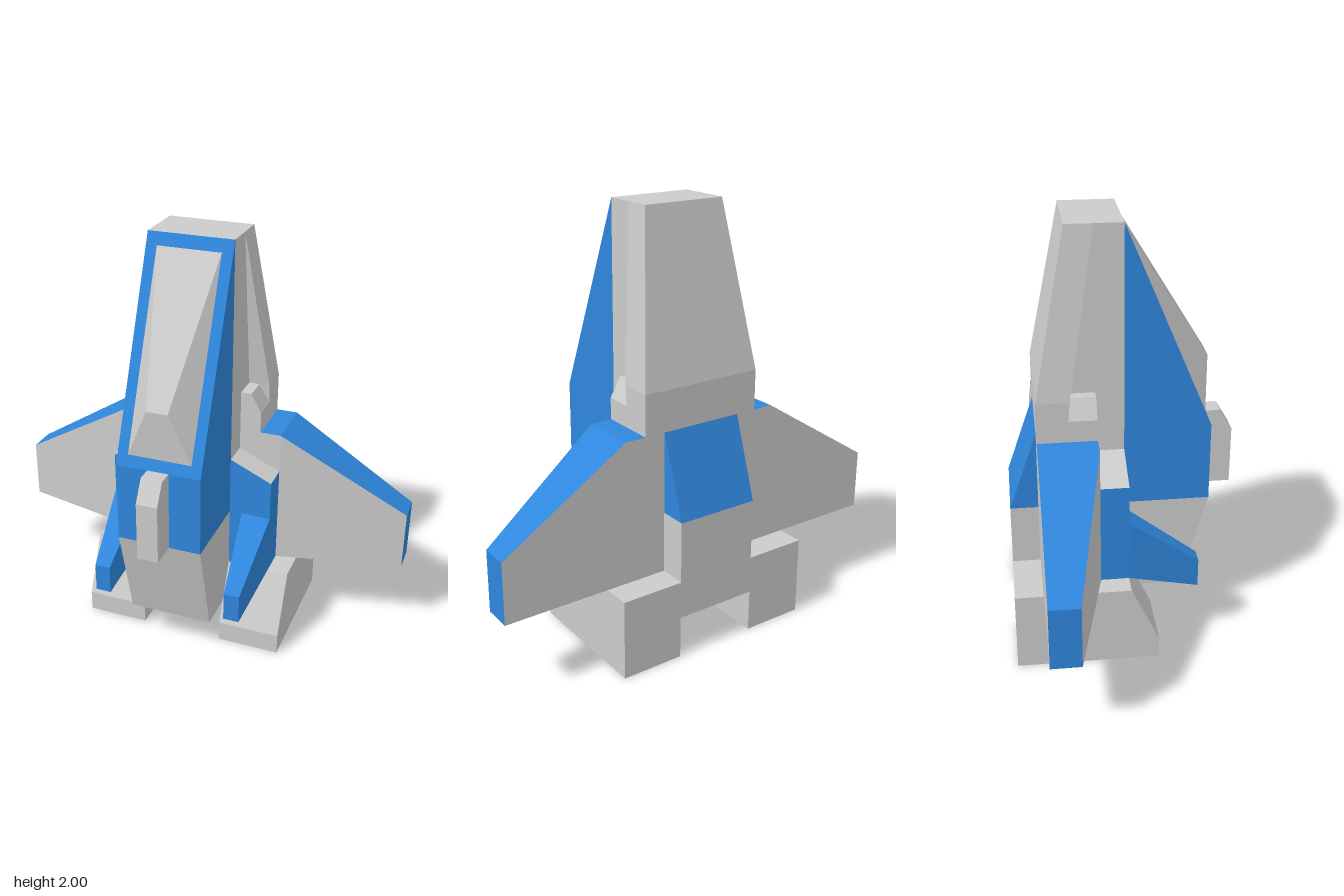
import * as THREE from 'three';

const materials = [
  new THREE.MeshStandardMaterial({ color: 0xcccccc, flatShading: true }),
  new THREE.MeshStandardMaterial({ color: 0x2f86dc, flatShading: true }),
];
const GREY = 0, BLUE = 1;

// Convex solid between two loops of equal length; paint = [side colours..., first cap, last cap] or one colour
function loft(name, a, b, paint) {
  const A = a.map(p => new THREE.Vector3(...p)), B = b.map(p => new THREE.Vector3(...p));
  const n = A.length, buckets = [[], []];
  const centre = new THREE.Vector3();
  [...A, ...B].forEach(p => centre.addScaledVector(p, 0.5 / n));
  const tri = (p, q, r, colour) => {
    const normal = q.clone().sub(p).cross(r.clone().sub(p));
    if (normal.length() < 1e-8) return;
    const outward = normal.dot(p.clone().sub(centre)) > 0;
    (outward ? [p, q, r] : [p, r, q]).forEach(v => buckets[colour].push(v));
  };
  const colourOf = i => Array.isArray(paint) ? paint[i] : paint;
  for (let i = 0; i < n; i++) {
    const j = (i + 1) % n;
    tri(A[i], A[j], B[j], colourOf(i));
    tri(A[i], B[j], B[i], colourOf(i));
  }
  for (let i = 1; i < n - 1; i++) {
    tri(A[0], A[i], A[i + 1], colourOf(n));
    tri(B[0], B[i], B[i + 1], colourOf(n + 1));
  }
  const geometry = new THREE.BufferGeometry().setFromPoints([...buckets[0], ...buckets[1]]);
  geometry.addGroup(0, buckets[0].length, 0);
  geometry.addGroup(buckets[0].length, buckets[1].length, 1);
  geometry.computeVertexNormals();
  const mesh = new THREE.Mesh(geometry, materials);
  mesh.name = name;
  return mesh;
}

// Side profile of [z, y] points stretched across x
const prism = (name, profile, x0, x1, paint) =>
  loft(name, profile.map(([z, y]) => [x0, y, z]), profile.map(([z, y]) => [x1, y, z]), paint);

// Horizontal rectangle at height y
const rect = (x, y, z0, z1) => [[-x, y, z0], [x, y, z0], [x, y, z1], [-x, y, z1]];

function createModel() {
  const model = new THREE.Group();

  // Central hull
  model.add(
    prism('cockpit', [[0, 2], [0.4, 1.05], [0.4, 0.67], [0, 0.67]], -0.2, 0.2, BLUE),
    prism('core', [[0, 2], [-0.2, 2], [-0.36, 1.24], [-0.36, 0.6], [0, 0.6]], -0.2, 0.2, GREY),
    prism('belly', [[0.4, 0.67], [0.27, 0.2], [-0.53, 0.2], [-0.53, 0.67]], -0.2, 0.2, GREY),
    prism('rearHatch', [[-0.38, 1.05], [-0.4, 1.05], [-0.53, 0.67], [-0.38, 0.67]], -0.2, 0.2, BLUE),
    prism('noseSensor', [[0.38, 1.05], [0.47, 1.05], [0.53, 0.95], [0.53, 0.67], [0.38, 0.67]], -0.05, 0.05, GREY),
  );

  // Faceted canopy rising from the slanted cockpit face to a short ridge
  const ridgeL = [0.05, 1.335, 0.4], ridgeR = [-0.05, 1.335, 0.4];
  model.add(loft('canopy',
    [[-0.15, 1.95, 0.02], [0.15, 1.95, 0.02], [0.15, 1.1, 0.379], [-0.15, 1.1, 0.379]],
    [ridgeR, ridgeL, ridgeL, ridgeR], GREY));

  // Tapered spine behind the cockpit
  model.add(
    loft('spineUpper', rect(0.2, 2, -0.13, -0.255), rect(0.3, 1.24, -0.25, -0.4), GREY),
    loft('spineLower', rect(0.3, 1.24, -0.25, -0.4), rect(0.3, 1.05, -0.265, -0.4), GREY),
  );

  for (const s of [1, -1]) {
    const side = new THREE.Group();
    side.name = s > 0 ? 'leftSide' : 'rightSide';
    model.add(side);

    // Wing: grey front and back, blue edges
    const root = [[-0.13, 0.38], [-0.13, 1.05], [-0.4, 1.05], [-0.4, 0.38]];
    const tip = [[-0.265, 0.38], [-0.265, 0.67], [-0.4, 0.67], [-0.4, 0.38]];
    const at = (x, loop) => loop.map(([z, y]) => [s * x, y, z]);
    side.add(
      loft('wingRoot', at(0.19, root), at(0.4, root), [GREY, BLUE, GREY, BLUE, GREY, GREY]),
      loft('wing', at(0.4, root), at(1, tip), [GREY, BLUE, GREY, BLUE, GREY, BLUE]),
    );

    // Shoulder block with a sloping grey top
    const shoulder = [[0.19, 0.38], [0.4, 0.38], [0.4, 0.86], [0.2, 0.95], [0.19, 0.95]];
    side.add(loft('shoulder',
      shoulder.map(([x, y]) => [s * x, y, 0]), shoulder.map(([x, y]) => [s * x, y, -0.14]),
      [BLUE, BLUE, GREY, GREY, BLUE, BLUE, BLUE]));

    // Tapered forward gun
    side.add(loft('gun',
      [[0.26, 0.38], [0.4, 0.38], [0.4, 0.67], [0.26, 0.67]].map(([x, y]) => [s * x, y, 0]),
      [[0.29, 0.29], [0.365, 0.29], [0.365, 0.43], [0.29, 0.43]].map(([x, y]) => [s * x, y, 0.33]), BLUE));

    // Chamfered intake beside the spine
    const intake = [[0.19, 1.05], [0.3, 1.05], [0.3, 1.15], [0.25, 1.24], [0.19, 1.24]];
    side.add(loft('intake',
      intake.map(([x, y]) => [s * x, y, -0.13]), intake.map(([x, y]) => [s * x, y, -0.3]), GREY));

    // Engine foot, its lower plate cut by a slot
    side.add(prism('engineFoot', [[0, 0.38], [0.13, 0.1], [-0.53, 0.1], [-0.53, 0.38]], s * 0.2, s * 0.5, GREY));
    const box = (x0, x1, y0, y1) => [[x0, y0], [x1, y0], [x1, y1], [x0, y1]].map(p => new THREE.Vector2(...p));
    const outline = new THREE.Shape(box(-0.15, 0.15, -0.33, 0.33));
    outline.holes.push(new THREE.Path(box(-0.05, 0.05, -0.2, 0.2)));
    const plate = new THREE.Mesh(
      new THREE.ExtrudeGeometry(outline, { depth: 0.1, bevelEnabled: false }), materials[GREY]);
    plate.name = 'engineNozzlePlate';
    plate.rotation.x = -Math.PI / 2;
    plate.position.set(s * 0.35, 0, -0.2);
    side.add(plate);
  }
  return model;
}

export { createModel };
